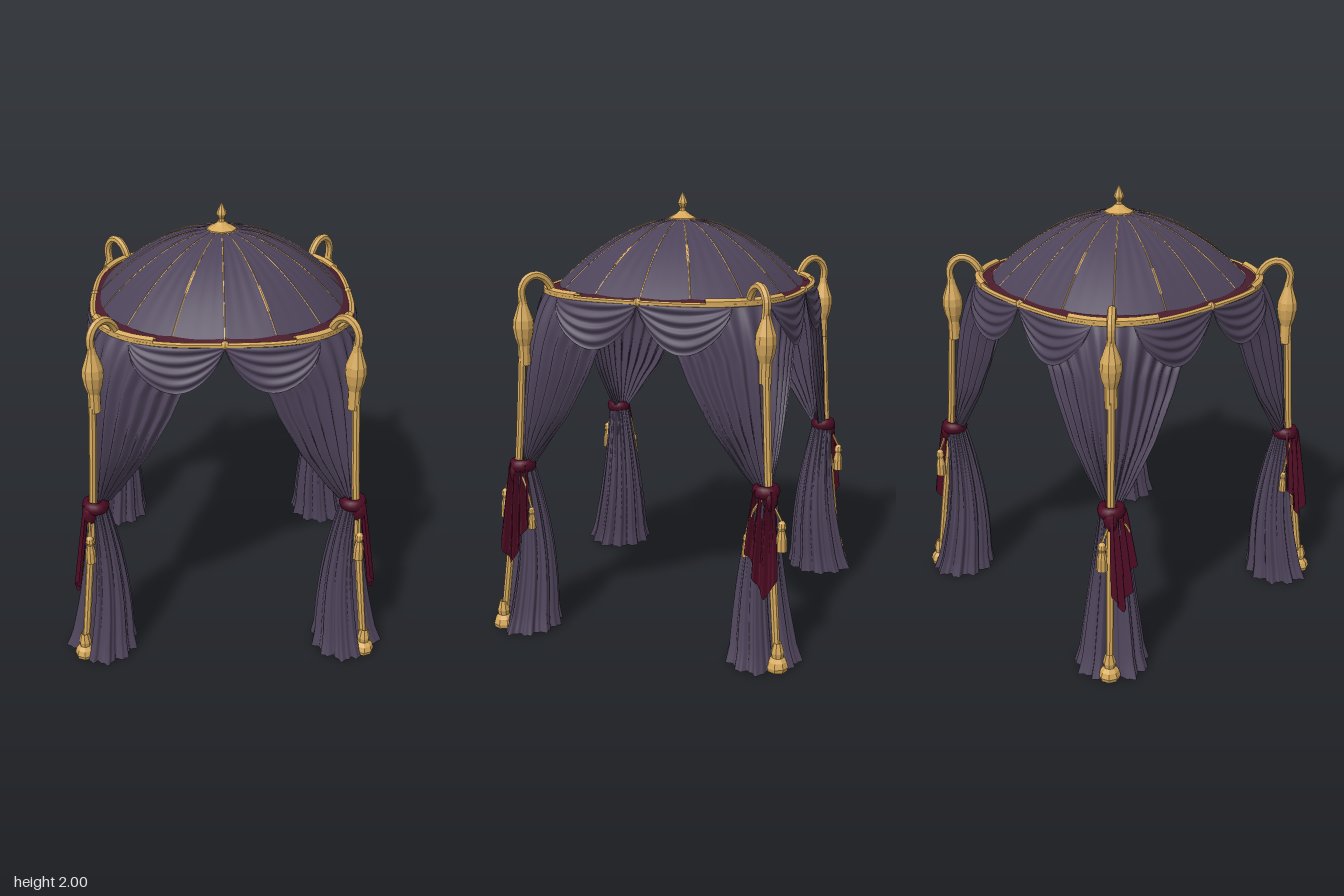
import * as THREE from 'three';

const V = (x, y, z) => new THREE.Vector3(x, y, z);
const mix = THREE.MathUtils.lerp;
const { PI, sin, cos, abs, pow, exp, max } = Math;

// Rounded-square radius in direction a; larger n gives squarer corners
const squareR = (a, n) => pow(pow(abs(cos(a)), n) + pow(abs(sin(a)), n), -1 / n);

// Cloth surface from a rule f(u, v) -> Vector3
function surface(nu, nv, f) {
  const pos = [], idx = [];
  for (let j = 0; j <= nv; j++)
    for (let i = 0; i <= nu; i++) pos.push(...f(i / nu, j / nv).toArray());
  for (let j = 0; j < nv; j++)
    for (let i = 0; i < nu; i++) {
      const a = j * (nu + 1) + i, b = a + nu + 1;
      idx.push(a, b, a + 1, b, b + 1, a + 1);
    }
  const g = new THREE.BufferGeometry();
  g.setAttribute('position', new THREE.Float32BufferAttribute(pos, 3));
  g.setIndex(idx);
  g.computeVertexNormals();
  return g;
}

const tube = (pts, r, seg = 16, sides = 8, closed = false) =>
  new THREE.TubeGeometry(new THREE.CatmullRomCurve3(pts, closed), seg, r, sides, closed);

const lathe = (pts, sides = 10) =>
  new THREE.LatheGeometry(pts.map(([r, y]) => new THREE.Vector2(r, y)), sides);

// Point on the curtain wall: rounded square that grows squarer downwards
function wall(a, y, out) {
  const r = (0.59 + out) * squareR(a, 3 + 10 * (1.56 - y) / 0.76);
  return V(r * cos(a), y, r * sin(a));
}

// Point on the dome: t = 0 at the crown, 1 at the rim, sagging and wrinkled between ribs
function dome(a, t, lift = 0) {
  const r = 0.57 * t * squareR(a, 2 + 0.4 * t);
  const sag = 0.008 * abs(sin(8 * a)) * t + 0.012 * t * (1 - t) * pow(sin(24 * a), 2);
  return V(r * cos(a), 1.57 + 0.31 * (1 - t * t) - sag + lift, r * sin(a));
}

// Point on the rim ring
function rim(a, y = 0, inset = 0) {
  const r = (0.586 - inset) * squareR(a, 3);
  return V(r * cos(a), y, r * sin(a));
}

// Inner edge of the drawn curtain, as [height, distance from centre line]
const EDGE = [[1.56, 0.01], [1.34, 0.185], [1.235, 0.227], [1.035, 0.333], [0.865, 0.466], [0.8, 0.53]];
function edgeAt(y) {
  for (let i = 1; i < EDGE.length; i++) {
    const [y0, e0] = EDGE[i - 1], [y1, e1] = EDGE[i];
    if (y >= y1 - 1e-6) return mix(e0, e1, (y0 - y) / (y0 - y1));
  }
  return 0.53;
}

export function createModel() {
  const model = new THREE.Group();
  model.name = 'canopy';
  const material = (name, color) => {
    const m = new THREE.MeshStandardMaterial({ color, side: THREE.DoubleSide, flatShading: name === 'gold' });
    m.name = name;
    return m;
  };
  const fabric = material('purple fabric', 0x4d4359);
  const gold = material('gold', 0xd6a95c);
  const maroon = material('maroon cloth', 0x4c0a22);
  const trimMat = material('maroon trim', 0x4a1c2c);
  const add = (parent, name, geo, mat, x = 0, y = 0, z = 0) => {
    const m = new THREE.Mesh(geo, mat);
    m.name = name;
    m.position.set(x, y, z);
    parent.add(m);
    return m;
  };

  // Dome roof and the trim that bridges it to the ring, widest at the corners
  add(model, 'domeRoof', surface(192, 20, (u, v) => dome(u * 2 * PI, v)), fabric);
  add(model, 'domeTrim', surface(128, 3, (u, v) => {
    const a = u * 2 * PI;
    return dome(a, 0.97, -0.002).lerp(rim(a, 1.572, 0.008), v);
  }), trimMat);

  // Ribs, with a broader braid patch on every second one
  for (let i = 0; i < 16; i++) {
    const a = i * PI / 8;
    const pts = [0.1, 0.3, 0.5, 0.7, 0.85, 1].map(t => dome(a, t, -0.001));
    add(model, 'domeRib', tube(pts, 0.003, 20, 5), gold);
    if (i % 2) {
      const start = 0.55 + 0.04 * (i % 5);
      add(model, 'ribBraid', surface(4, 6, (u, v) => {
        const t = mix(start, start + 0.17, v);
        return dome(a + (u - 0.5) * 0.018 / t, t, 0.002);
      }), gold);
    }
  }

  // Golden rim ring with a knob at the middle of each side
  const ringPts = Array.from({ length: 48 }, (_, i) => rim(i * PI / 24));
  const ring = add(model, 'rimRing', tube(ringPts, 0.016, 96, 6, true), gold, 0, 1.566, 0);
  ring.scale.y = 0.7;
  for (let i = 0; i < 4; i++) {
    const p = rim(i * PI / 2);
    add(model, 'rimKnob', new THREE.SphereGeometry(0.019, 8, 6), gold, p.x, 1.567, p.z);
  }

  // Crown finial
  add(model, 'finial', lathe([[0, 1.865], [0.07, 1.868], [0.068, 1.88], [0.035, 1.897], [0.016, 1.912],
    [0.013, 1.925], [0.024, 1.945], [0.022, 1.955], [0.009, 1.985], [0, 2]], 8), gold);

  // Shared corner shapes, all for the +x +z corner
  const upperCurtain = surface(100, 28, (u, v) => {
    const y = mix(1.56, 0.8, v), a0 = Math.atan2(edgeAt(y), 0.59);
    const pleat = (0.004 + 0.012 * pow(v, 0.5)) * sin(u * 2 * PI * 11 + 0.6 * sin(v * 3));
    return wall(mix(a0, PI / 2 - a0, u), y, pleat);
  });
  // Scalloped swag with hanging folds, reaching from a side's middle to the corner
  const swag = flip => surface(28, 30, (u, v) => {
    const arc = sin(PI * u), y = 1.56 - v * (0.012 + 0.195 * pow(arc, 0.75));
    const a = mix(PI / 2, 0.92, u);
    const fold = arc * (0.005 + 0.011 * v + 0.007 * sin(v * 2 * PI * 4));
    return wall(flip ? PI / 2 - a : a, y, 0.006 + fold);
  });
  // Gathered skirt, notched on its outer corner around the pole
  const lowerCurtain = surface(144, 20, (u, v) => {
    const a = u * 2 * PI;
    const d = Math.atan2(sin(a - PI / 4), cos(a - PI / 4));
    let r = 0.045 + 0.1 * v + 0.1 * max(0, v - 0.9);
    r *= 1 - 0.45 * exp(-pow(d / 0.38, 2));
    r *= 1 + (0.06 + 0.03 * v) * sin(11 * a + 0.8 * sin(2 * v)) + 0.04 * sin(29 * a);
    const c = 0.575 - 0.024 * sin(PI * v) + 0.008 * v;
    return V(c + r * cos(a), max(0.004, 0.8 * (1 - v)), c + r * sin(a));
  });
  // Pleated sash tail widening downwards to a ragged point
  const sashTail = (len, z0, z1, w) => surface(28, 12, (u, v) => V(
    0.618 + 0.125 * v * len + 0.013 * sin(u * PI * 5 + v),
    0.8 - len * v * (1 - 0.4 * abs(u - 0.5)),
    mix(z0, z1, v) + (u - 0.5) * mix(0.06, w, pow(v, 0.6))));
  const pole = tube([V(0.655, 0.05, 0.66), V(0.615, 0.5, 0.62), V(0.589, 0.8, 0.592), V(0.567, 1.28, 0.567)],
    0.018, 10, 8);
  const foot = lathe([[0, 0], [0.045, 0.002], [0.05, 0.02], [0.042, 0.045], [0.026, 0.062],
    [0.03, 0.085], [0.018, 0.13]], 8);
  const vase = lathe([[0, 0], [0.028, 0], [0.028, 0.09], [0.04, 0.125], [0.048, 0.17], [0.046, 0.205],
    [0.034, 0.24], [0.022, 0.275], [0.018, 0.3]]);
  const hook = tube([[0.558, 1.53], [0.562, 1.59], [0.545, 1.635], [0.518, 1.652], [0.49, 1.64], [0.468, 1.605],
    [0.457, 1.565]].map(([d, y]) => V(d, y, d)), 0.019, 14, 7);
  const cuff = tube([-0.3, -0.15, 0, 0.15, 0.3].map(d => rim(PI / 4 + d, 1.573, 0.004)), 0.021, 8, 6);
  const tassel = lathe([[0, 0], [0.025, 0.002], [0.023, 0.06], [0.015, 0.095], [0.02, 0.108],
    [0.016, 0.128], [0.005, 0.14]], 9);

  // Four mirrored corners
  for (const sx of [1, -1]) for (const sz of [1, -1]) {
    const corner = new THREE.Group();
    corner.name = (sz > 0 ? 'front' : 'back') + (sx > 0 ? 'Left' : 'Right') + 'Corner';
    corner.scale.set(sx, 1, sz);
    model.add(corner);
    add(corner, 'upperCurtain', upperCurtain, fabric);
    add(corner, 'frontSwag', swag(false), fabric);
    add(corner, 'sideSwag', swag(true), fabric);
    add(corner, 'lowerCurtain', lowerCurtain, fabric);

    // Pole with foot, vase, hook and the cuff that holds the ring
    add(corner, 'pole', pole, gold);
    add(corner, 'poleFoot', foot, gold, 0.657, 0, 0.664);
    add(corner, 'poleVase', vase, gold, 0.558, 1.25, 0.56);
    add(corner, 'poleHook', hook, gold);
    add(corner, 'ringCuff', cuff, gold);

    // Tie-back, knot and sash
    const tie = add(corner, 'tieBack', new THREE.TorusGeometry(0.04, 0.022, 8, 20), maroon, 0.578, 0.785, 0.578);
    tie.rotation.x = PI / 2;
    tie.scale.z = 1.4;
    const knot = add(corner, 'sashKnot', new THREE.SphereGeometry(0.034, 10, 8), maroon, 0.603, 0.755, 0.603);
    knot.scale.y = 1.6;
    add(corner, 'longSash', sashTail(0.47, 0.59, 0.605, 0.11), maroon);
    add(corner, 'shortSash', sashTail(0.34, 0.565, 0.56, 0.1), maroon);

    // Tassels on cords, one by the pole and a smaller one at the side
    for (const [x, y, z, s] of [[0.605, 0.53, 0.658, 1], [0.638, 0.5, 0.51, 0.75]]) {
      add(corner, 'tassel', tassel, gold, x, y, z).scale.setScalar(s);
      add(corner, 'tasselCord', tube([V(x, y + 0.13 * s, z), V(x, 0.7, mix(z, 0.59, 0.3)), V(0.61, 0.785, 0.59)],
        0.006, 8, 5), gold);
    }
  }
  return model;
}
